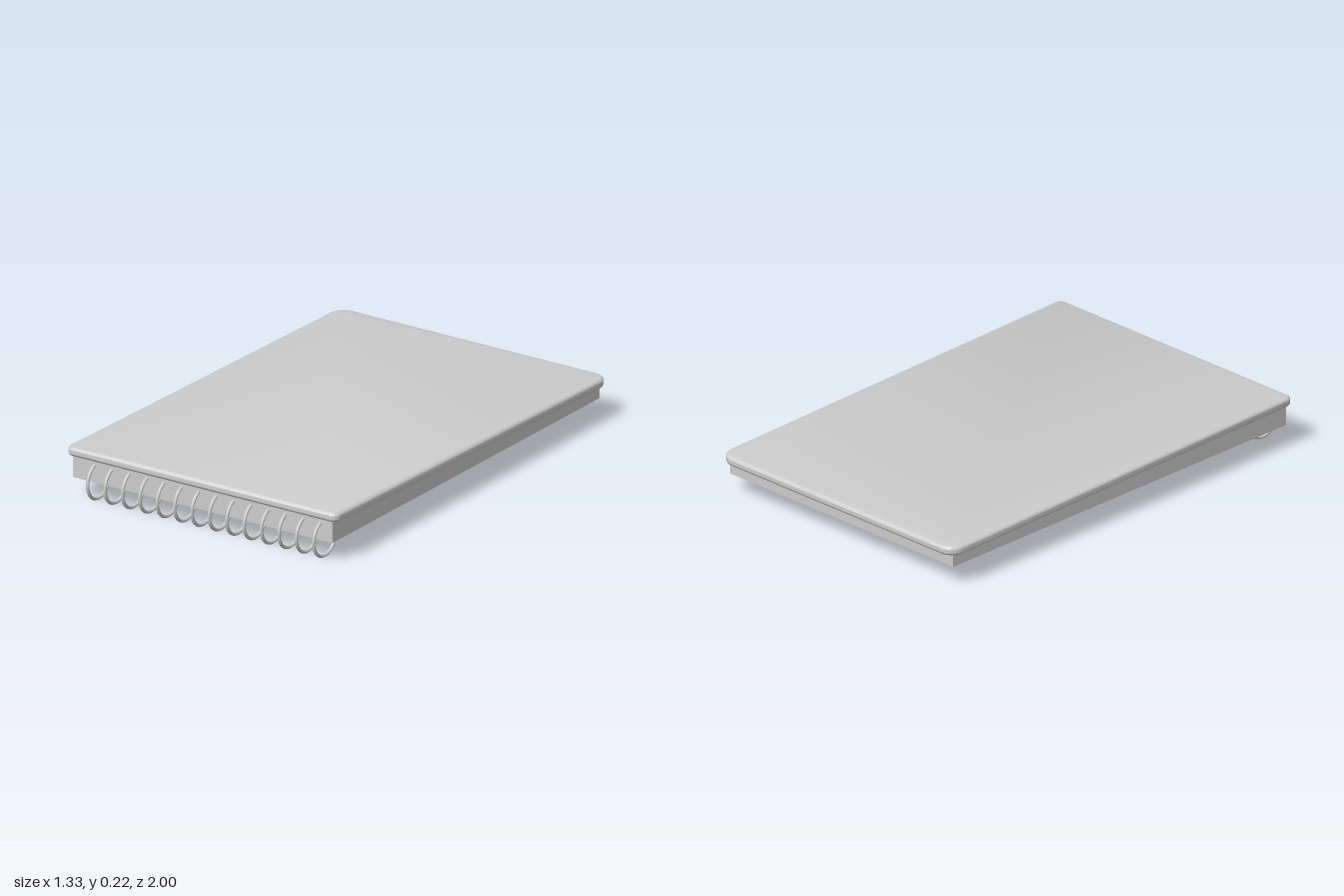
import * as THREE from 'three';
import { toCreasedNormals } from 'three/addons/utils/BufferGeometryUtils.js';

const material = new THREE.MeshStandardMaterial({ color: 0xcccccc });

function part(name, geometry, parent) {
  const mesh = new THREE.Mesh(geometry, material);
  mesh.name = name;
  parent.add(mesh);
  return mesh;
}

// Outline with separate corner radii at the front (-y) and back (+y)
function coverOutline(w, l, rFront, rBack) {
  const s = new THREE.Shape();
  s.moveTo(-w + rFront, -l);
  s.lineTo(w - rFront, -l);
  s.absarc(w - rFront, -l + rFront, rFront, -Math.PI / 2, 0, false);
  s.lineTo(w, l - rBack);
  s.absarc(w - rBack, l - rBack, rBack, 0, Math.PI / 2, false);
  s.lineTo(-w + rBack, l);
  s.absarc(-w + rBack, l - rBack, rBack, Math.PI / 2, Math.PI, false);
  s.lineTo(-w, -l + rFront);
  s.absarc(-w + rFront, -l + rFront, rFront, Math.PI, Math.PI * 1.5, false);
  return s;
}

export function createModel() {
  const model = new THREE.Group();
  model.name = 'spiralNotepad';

  // Block of pages, its top buried in the sloping cover
  const pages = part('pages', new THREE.BoxGeometry(1.27, 0.092, 1.91), model);
  pages.position.set(0, 0.133, -0.01);

  // Cover with rounded edges, tilted up towards the rings
  const bevel = 0.015, thickness = 0.04;
  const slab = new THREE.ExtrudeGeometry(coverOutline(0.664 - bevel, 0.98 - bevel, 0.02, 0.055), {
    depth: thickness - 2 * bevel, bevelThickness: bevel, bevelSize: bevel, bevelSegments: 4, curveSegments: 6,
  });
  slab.translate(0, 0, bevel - thickness / 2);
  slab.rotateX(-Math.PI / 2);
  const cover = part('cover', toCreasedNormals(slab, 0.7), model);
  cover.position.set(0, 0.18, -0.02);
  cover.rotation.x = -0.0204;

  // Row of wire rings through the front edge
  const rings = new THREE.Group();
  rings.name = 'bindingRings';
  model.add(rings);
  const ringGeometry = new THREE.TorusGeometry(0.078, 0.0075, 10, 40);
  ringGeometry.rotateY(Math.PI / 2);
  for (let i = 0; i < 14; i++) {
    const ring = part('ring', ringGeometry, rings);
    ring.position.set(-0.53 + i * 0.0851, 0.0885, 0.9145);
  }

  return model;
}
